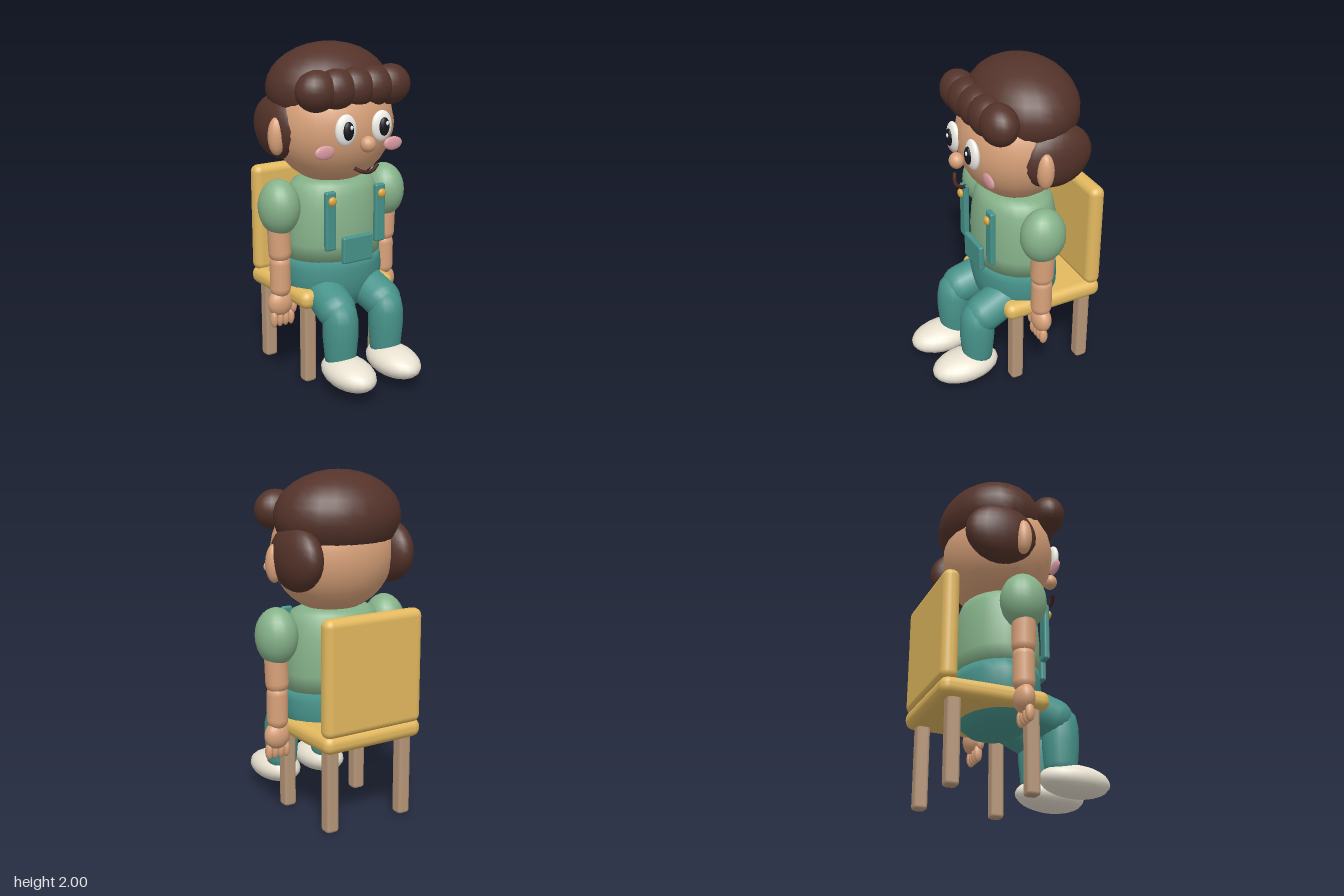
import * as THREE from 'three';
import { RoundedBoxGeometry } from 'three/addons/geometries/RoundedBoxGeometry.js';

const mat = (color) => new THREE.MeshStandardMaterial({ color });
const hair = mat(0x54332a), skin = mat(0xd9a27a), shirt = mat(0x86b28a), denim = mat(0x47938b);
const yellow = mat(0xe3b95f), wood = mat(0xb8977a), cream = mat(0xe9e2d2), pink = mat(0xdc9da3);
const white = mat(0xf2f0ea), black = mat(0x15171f), lip = mat(0x4a2520), gold = mat(0xe0a840);

export function createModel() {
  const model = new THREE.Group();

  const add = (name, geometry, material, x = 0, y = 0, z = 0) => {
    const mesh = new THREE.Mesh(geometry, material);
    mesh.name = name;
    mesh.position.set(x, y, z);
    model.add(mesh);
    return mesh;
  };
  // Ellipsoid from centre and radii
  const ball = (name, material, [x, y, z], [rx, ry, rz], seg = 20) =>
    add(name, new THREE.SphereGeometry(1, seg, Math.round(seg * 0.7)).scale(rx, ry, rz), material, x, y, z);
  // Softened box from centre and size
  const box = (name, material, [x, y, z], [w, h, d], r, seg = 3) =>
    add(name, new RoundedBoxGeometry(w, h, d, seg, r), material, x, y, z);
  // Capsule between two points
  const limb = (name, material, a, b, r) => {
    const from = new THREE.Vector3(...a), to = new THREE.Vector3(...b);
    const dir = to.clone().sub(from);
    const mesh = add(name, new THREE.CapsuleGeometry(r, dir.length(), 6, 18), material);
    mesh.position.copy(from).add(to).multiplyScalar(0.5);
    mesh.quaternion.setFromUnitVectors(new THREE.Vector3(0, 1, 0), dir.normalize());
  };
  // Oval body section: a lathe squashed front to back
  const ovalLathe = (name, material, profile) => add(name,
    new THREE.LatheGeometry(profile.map(([r, y]) => new THREE.Vector2(r, y)), 24).scale(1, 1, 0.79),
    material, 0, 0, -0.09);

  // Chair
  box('seat', yellow, [0, 0.535, -0.21], [0.66, 0.11, 0.64], 0.05);
  box('chairBack', yellow, [0, 0.905, -0.48], [0.65, 0.67, 0.098], 0.045);
  for (const x of [-0.25, 0.25]) {
    for (const z of [0.02, -0.44]) box('chairLeg', wood, [x, 0.255, z], [0.08, 0.51, 0.08], 0.02, 1);
  }

  // Torso
  ovalLathe('trousersHips', denim, [[0, 0.39], [0.12, 0.4], [0.2, 0.43], [0.265, 0.48],
    [0.3, 0.55], [0.315, 0.63], [0.312, 0.7], [0.305, 0.755], [0, 0.76]]);
  ovalLathe('shirt', shirt, [[0, 0.74], [0.303, 0.745], [0.309, 0.85], [0.308, 0.95], [0.298, 1.06],
    [0.28, 1.14], [0.255, 1.2], [0.2, 1.22], [0, 1.23]]);
  box('bibPocket', denim, [0, 0.83, 0.17], [0.21, 0.16, 0.035], 0.012, 2);

  // Head and hair
  ball('head', skin, [0, 1.54, -0.085], [0.37, 0.355, 0.325], 24);
  ball('hairCap', hair, [0, 1.74, -0.135], [0.382, 0.26, 0.31], 24);
  for (let i = -2; i <= 2; i++) {
    ball('fringeCurl', hair, [i * 0.125, 1.765, Math.abs(i) === 2 ? 0.133 : 0.14], [0.127, 0.117, 0.105]);
  }
  ball('nose', skin, [0, 1.465, 0.272], [0.047, 0.047, 0.043], 16);
  const smile = new THREE.CatmullRomCurve3([
    new THREE.Vector3(-0.08, 1.337, 0.25), new THREE.Vector3(-0.04, 1.314, 0.268),
    new THREE.Vector3(0, 1.306, 0.274), new THREE.Vector3(0.04, 1.314, 0.268),
    new THREE.Vector3(0.08, 1.337, 0.25)]);
  add('mouth', new THREE.TubeGeometry(smile, 16, 0.011, 8), lip);

  // Paired parts
  for (const s of [-1, 1]) {
    // Face
    ball('sideHair', hair, [s * 0.305, 1.53, -0.185], [0.11, 0.187, 0.222]);
    ball('ear', skin, [s * 0.383, 1.495, -0.08], [0.052, 0.11, 0.05], 16);
    ball('eye', white, [s * 0.122, 1.55, 0.23], [0.07, 0.09, 0.03]);
    ball('pupil', black, [s * 0.122, 1.55, 0.257], [0.034, 0.053, 0.018], 16);
    ball('eyeGlint', white, [s * 0.122 + 0.01, 1.57, 0.273], [0.01, 0.013, 0.006], 10);
    ball('cheek', pink, [s * 0.235, 1.43, 0.19], [0.066, 0.04, 0.015], 16);

    // Straps
    box('strap', denim, [s * 0.173, 1.015, 0.147], [0.07, 0.35, 0.035], 0.012, 2);
    ball('strapButton', gold, [s * 0.173, 1.137, 0.173], [0.027, 0.027, 0.016], 14);

    // Arms
    ball('sleeve', shirt, [s * 0.375, 1.08, -0.08], [0.12, 0.165, 0.135]);
    limb('upperArm', skin, [s * 0.383, 1.0, -0.08], [s * 0.375, 0.81, -0.08], 0.068);
    limb('forearm', skin, [s * 0.375, 0.74, -0.08], [s * 0.375, 0.59, -0.08], 0.062);
    ball('palm', skin, [s * 0.378, 0.495, -0.08], [0.08, 0.083, 0.056], 18);
    for (let i = 0; i < 4; i++) {
      ball('finger', skin, [s * (0.314 + i * 0.038), 0.4, -0.07], [0.022, 0.052, 0.027], 12);
    }
    ball('thumb', skin, [s * 0.302, 0.465, -0.06], [0.022, 0.045, 0.025], 12);

    // Legs
    limb('thigh', denim, [s * 0.14, 0.56, 0], [s * 0.163, 0.49, 0.19], 0.117);
    const shin = [[0, 0.15], [0.088, 0.16], [0.094, 0.22], [0.105, 0.34], [0.104, 0.44],
      [0.09, 0.51], [0.055, 0.55], [0, 0.56]].map(([r, y]) => new THREE.Vector2(r, y));
    add('shin', new THREE.LatheGeometry(shin, 18), denim, s * 0.163, 0, 0.238);
    ball('shoe', cream, [s * 0.162, 0.14, 0.32], [0.134, 0.09, 0.212]).rotation.x = 0.04;
  }

  return model;
}
